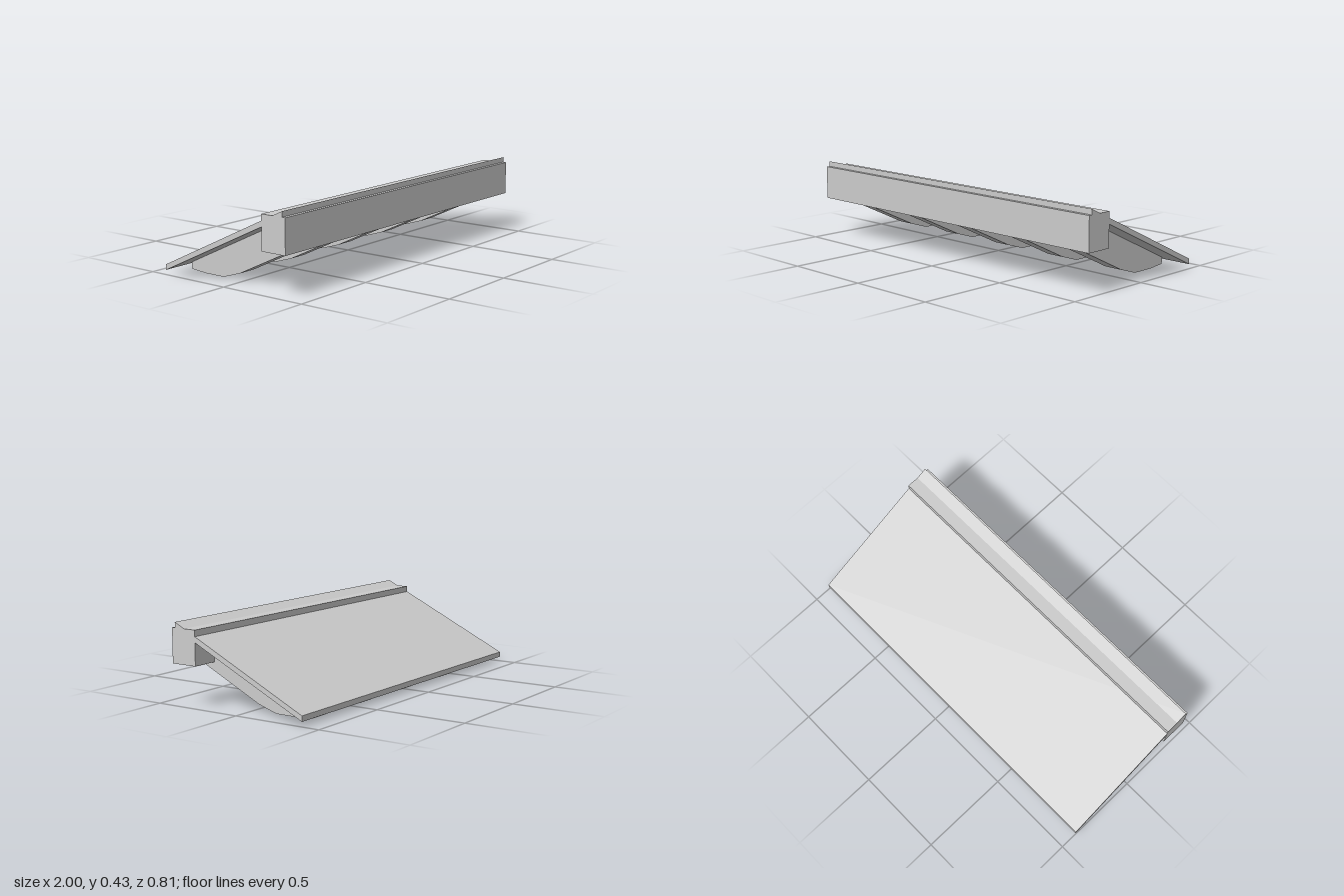
import * as THREE from 'three';

const material = new THREE.MeshStandardMaterial({ color: 0xcccccc, flatShading: true });

// Extrudes a [z, y] side profile along x, centred on the given x
function sideExtrusion(name, profile, width, x = 0) {
  const shape = new THREE.Shape(profile.map(([z, y]) => new THREE.Vector2(z, y)));
  const geometry = new THREE.ExtrudeGeometry(shape, { depth: width, bevelEnabled: false });
  geometry.translate(0, 0, -width / 2).rotateY(-Math.PI / 2);
  const mesh = new THREE.Mesh(geometry, material);
  mesh.name = name;
  mesh.position.x = x;
  return mesh;
}

export function createModel() {
  const model = new THREE.Group();
  model.name = 'eavesSection';

  // Front beam
  const beam = new THREE.Mesh(new THREE.BoxGeometry(2, 0.184, 0.149), material);
  beam.name = 'frontBeam';
  beam.position.set(0, 0.312, 0.3295);
  model.add(beam);

  // Sloping roof board, its upper edge rising through the beam
  model.add(sideExtrusion('roofBoard', [
    [0.385, 0.433], [-0.402, 0.056], [-0.402, 0.027], [0.385, 0.402],
  ], 2));

  // Rafters under the board, with shaped tails
  const rafters = new THREE.Group();
  rafters.name = 'rafters';
  const rafterProfile = [
    [0.385, 0.402], [-0.362, 0.046], [-0.362, 0.01], [-0.265, 0.002],
    [-0.137, 0.002], [-0.027, 0.037], [0.352, 0.22], [0.385, 0.236],
  ];
  for (let i = -2; i <= 2; i++) {
    rafters.add(sideExtrusion('rafter', rafterProfile, 0.106, i * 0.4));
  }
  model.add(rafters);

  return model;
}
